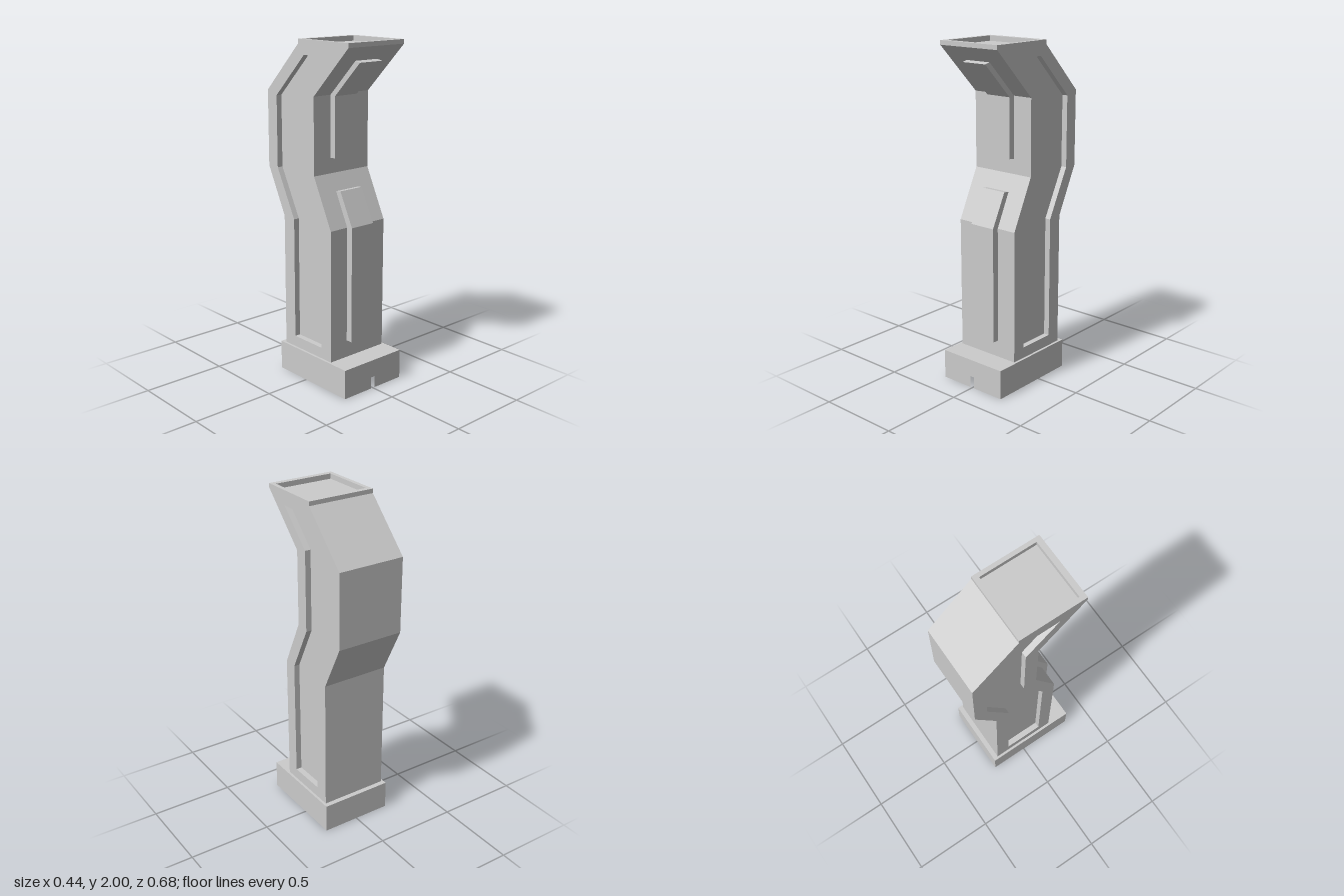
import * as THREE from 'three';

const mat = new THREE.MeshStandardMaterial({ color: 0xcccccc, flatShading: true, side: THREE.DoubleSide });
const HALF = 0.205;    // half width of the column
const RECESS = 0.035;  // depth of the side recesses
const BASE_H = 0.175;

// Column side profile as [z, y]
const front = [[0.205, BASE_H], [0.205, 0.96], [0.065, 1.25], [0.065, 1.695], [0.343, 1.975], [0.343, 2]];
const back = [[-0.062, 2], [-0.062, 1.975], [-0.34, 1.695], [-0.34, 1.25], [-0.202, 0.97], [-0.202, BASE_H]];

// Outline of the side recess as [z, y]
const recess = [
  [-0.115, 0.24], [0.122, 0.24], [0.122, 0.96], [-0.015, 1.235], [-0.015, 1.715],
  [0.185, 1.915], [-0.015, 1.915], [-0.26, 1.67], [-0.26, 1.25], [-0.115, 0.965],
];

const toVectors = (pts) => pts.map(([a, b]) => new THREE.Vector2(a, b));
const rect = (x0, y0, x1, y1) => [[x0, y0], [x1, y0], [x1, y1], [x0, y1]];

function shapeOf(pts, hole) {
  const shape = new THREE.Shape(toVectors(pts));
  if (hole) shape.holes.push(new THREE.Path(toVectors(hole)));
  return shape;
}

function addMesh(parent, name, geometry) {
  const mesh = new THREE.Mesh(geometry, mat);
  mesh.name = name;
  parent.add(mesh);
  return mesh;
}

// Strip of quads following a [z, y] path between two x positions
function ribbon(pts, xa, xb) {
  const v = [];
  for (let i = 0; i < pts.length - 1; i++) {
    const [pz, py] = pts[i];
    const [qz, qy] = pts[i + 1];
    v.push(xa, py, pz, xb, py, pz, xb, qy, qz);
    v.push(xa, py, pz, xb, qy, qz, xa, qy, qz);
  }
  const g = new THREE.BufferGeometry();
  g.setAttribute('position', new THREE.Float32BufferAttribute(v, 3));
  g.computeVertexNormals();
  return g;
}

// Flat [z, y] face at a given x, facing -x
const sideFace = (pts, x, hole) =>
  new THREE.ShapeGeometry(shapeOf(pts, hole)).rotateY(-Math.PI / 2).translate(x, 0, 0);

// Flat [x, -z] face at a given height, facing up
const topFace = (pts, y, hole) =>
  new THREE.ShapeGeometry(shapeOf(pts, hole)).rotateX(-Math.PI / 2).translate(0, y, 0);

// Four walls around a rectangle, facing outward, or inward when flipped
function addWalls(parent, name, x0, x1, z0, z1, y0, y1, sides) {
  if (sides.includes('front')) addMesh(parent, name + 'Front', ribbon([[z1, y0], [z1, y1]], x0, x1));
  addMesh(parent, name + 'Back', ribbon([[z0, y1], [z0, y0]], x0, x1));
  const box = rect(z0, y0, z1, y1);
  addMesh(parent, name + 'Right', sideFace(box, x0));
  addMesh(parent, name + 'Left', sideFace(box, -x1)).scale.x = -1;
}

function buildBase() {
  const base = new THREE.Group();
  base.name = 'base';
  const w = 0.22, z0 = -0.232, z1 = 0.343;
  addWalls(base, 'baseWall', -w, w, z0, z1, 0, BASE_H, ['back']);
  // Front wall with a small cable notch
  const n = 0.014, h = 0.07;
  const wall = [[-w, 0], [-n, 0], [-n, h], [n, h], [n, 0], [w, 0], [w, BASE_H], [-w, BASE_H]];
  addMesh(base, 'baseWallFront', new THREE.ShapeGeometry(shapeOf(wall)).translate(0, 0, z1));
  // Ledge around the hollow column
  addMesh(base, 'baseLedge', topFace(rect(-w, -z1, w, -z0), BASE_H, rect(-HALF, -0.205, HALF, 0.202)));
  return base;
}

function buildColumn() {
  const column = new THREE.Group();
  column.name = 'column';
  addMesh(column, 'columnFront', ribbon(front, -HALF, HALF));
  addMesh(column, 'columnBack', ribbon(back, -HALF, HALF));

  // Sides with a recess following the bends
  for (const mirror of [1, -1]) {
    const side = new THREE.Group();
    side.name = mirror > 0 ? 'rightSide' : 'leftSide';
    addMesh(side, 'sideFrame', sideFace([...front, ...back], -HALF, recess));
    addMesh(side, 'recessWalls', ribbon([...recess, recess[0]], -HALF + RECESS, -HALF));
    addMesh(side, 'recessFloor', sideFace(recess, -HALF + RECESS));
    side.scale.x = mirror;
    column.add(side);
  }
  return column;
}

function buildTop() {
  const top = new THREE.Group();
  top.name = 'topTray';
  const x = 0.18, z0 = -0.031, z1 = 0.31, floorY = 1.97;
  const opening = rect(-x, -z1, x, -z0);
  addMesh(top, 'topRim', topFace(rect(-HALF, -0.343, HALF, 0.062), 2, opening));
  addMesh(top, 'topFloor', topFace(opening, floorY));
  addWalls(top, 'topWall', -x, x, z0, z1, floorY, 2, ['front']);
  return top;
}

// Raised strip on the front, from a [z, y] profile
function buildPanel(name, profile) {
  const g = new THREE.ExtrudeGeometry(shapeOf(profile), { depth: 0.164, bevelEnabled: false });
  const mesh = new THREE.Mesh(g.rotateY(-Math.PI / 2).translate(0.082, 0, 0), mat);
  mesh.name = name;
  return mesh;
}

export function createModel() {
  const model = new THREE.Group();
  model.name = 'pedestal';
  model.add(buildBase(), buildColumn(), buildTop());
  model.add(buildPanel('lowerFrontPanel',
    [[0.205, 0.278], [0.245, 0.278], [0.245, 0.965], [0.148, 1.16], [0.112, 1.155], [0.205, 0.96]]));
  model.add(buildPanel('upperFrontPanel',
    [[0.065, 1.338], [0.102, 1.342], [0.102, 1.69], [0.3, 1.888], [0.265, 1.896], [0.065, 1.695]]));
  return model;
}
